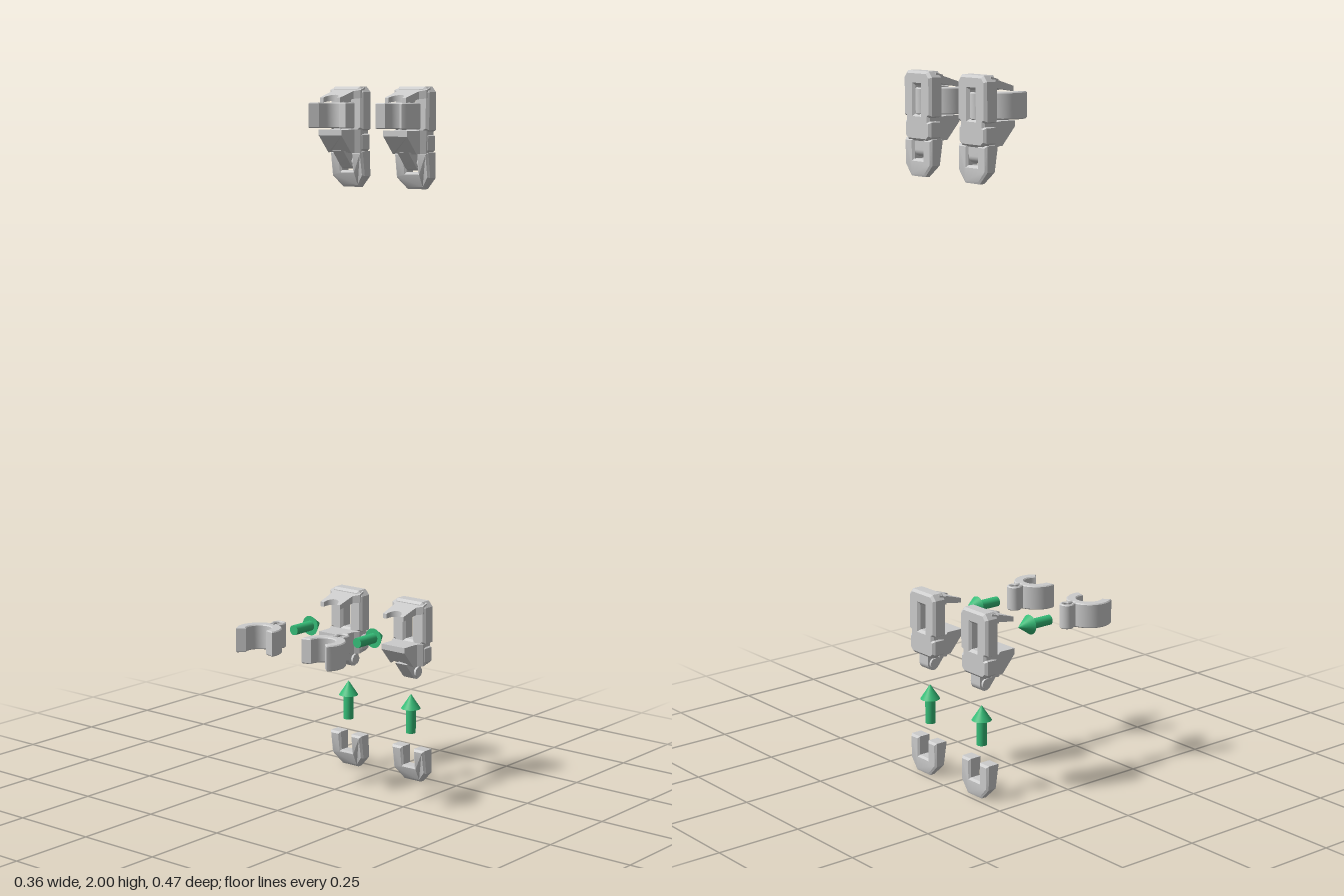
import * as THREE from 'three';
import { toCreasedNormals } from 'three/addons/utils/BufferGeometryUtils.js';

const grey = new THREE.MeshStandardMaterial({ color: 0xcccccc });
const green = new THREE.MeshStandardMaterial({ color: 0x35bd78 });
const rad = THREE.MathUtils.degToRad;

// Crease at a larger scale so tiny neighbouring vertices are not merged
function creased(geo) {
  geo.scale(100, 100, 100);
  const out = toCreasedNormals(geo, rad(28));
  return out.scale(0.01, 0.01, 0.01);
}

function part(name, geo, material = grey) {
  const mesh = new THREE.Mesh(creased(geo), material);
  mesh.name = name;
  return mesh;
}

// Closed shape symmetric in x, from its right half listed bottom to top
function mirrored(half) {
  const pts = half.map(([x, y]) => new THREE.Vector2(x, y));
  const left = half.slice().reverse().map(([x, y]) => new THREE.Vector2(-x, y));
  return new THREE.Shape([...pts, ...left]);
}

function extrude(shape, depth, bevel = 0) {
  const geo = new THREE.ExtrudeGeometry(shape, {
    depth: depth - 2 * bevel, curveSegments: 20, bevelEnabled: bevel > 0,
    bevelThickness: bevel, bevelSize: bevel, bevelOffset: -bevel, bevelSegments: 1,
  });
  return geo.translate(0, 0, bevel);
}

// Plan shape (x, -z) turned into a solid whose top and bottom follow z
function slopedSolid(shape, top, bottom) {
  const geo = extrude(shape, 1).rotateX(-Math.PI / 2);
  const p = geo.attributes.position;
  for (let i = 0; i < p.count; i++) {
    p.setY(i, p.getY(i) > 0.5 ? top(p.getZ(i)) : bottom(p.getZ(i)));
  }
  geo.computeVertexNormals();
  return geo;
}

const ramp = (z0, y0, z1, y1) => (z) => THREE.MathUtils.mapLinear(z, z0, z1, y0, y1);

function buildBody() {
  const body = new THREE.Group();
  body.name = 'body';

  // Back plate with the vertical socket slot
  const plate = mirrored([
    [0.042, 0.353], [0.056, 0.365], [0.056, 0.405], [0.05, 0.408],
    [0.05, 0.417], [0.059, 0.421], [0.059, 0.525], [0.045, 0.541],
  ]);
  plate.holes.push(new THREE.Path([
    [-0.013, 0.426], [-0.013, 0.502], [0.013, 0.502], [0.013, 0.426],
  ].map(([x, y]) => new THREE.Vector2(x, y))));
  body.add(part('backPlate', extrude(plate, 0.045, 0.007).translate(0, 0, -0.235)));

  // Upper visor with a round notch in its front edge
  const visor = new THREE.Shape();
  visor.moveTo(-0.053, 0.21);
  visor.lineTo(-0.056, 0.188);
  visor.lineTo(-0.039, 0.176);
  visor.lineTo(-0.037, 0.12);
  visor.lineTo(-0.025, 0.12);
  visor.absarc(0, 0.12, 0.024, Math.PI, 0, true);
  visor.lineTo(0.037, 0.12);
  visor.lineTo(0.039, 0.176);
  visor.lineTo(0.056, 0.188);
  visor.lineTo(0.053, 0.21);
  body.add(part('visor', slopedSolid(visor,
    ramp(-0.21, 0.538, -0.12, 0.51), ramp(-0.21, 0.512, -0.12, 0.496))));

  // Lower wedge, sloping back towards the plate
  const wedge = mirrored([[0.042, 0.12], [0.042, 0.163], [0.044, 0.176], [0.056, 0.188], [0.05, 0.21]]);
  const slope = ramp(-0.19, 0.316, -0.12, 0.404);
  body.add(part('lowerWedge', slopedSolid(wedge, () => 0.42, (z) => Math.max(0.355, slope(z)))));

  // Rounded tang that enters the toe, with its cross pin
  const tang = new THREE.Shape();
  tang.moveTo(0.155, 0.36);
  tang.lineTo(0.19, 0.318);
  tang.absarc(0.207, 0.329, 0.02, rad(215), rad(360), false);
  tang.lineTo(0.227, 0.36);
  body.add(part('tang', extrude(tang, 0.04).rotateY(Math.PI / 2).translate(-0.02, 0, 0)));
  body.add(part('pin', new THREE.CylinderGeometry(0.015, 0.015, 0.054, 24)
    .rotateZ(Math.PI / 2).translate(0, 0.33, -0.207)));
  return body;
}

// Open ring with one longer arm and a split loop at the back
function buildClip() {
  const s = new THREE.Shape();
  s.absarc(0, 0, 0.065, rad(-14), rad(77), false);
  s.absarc(0, 0.084, 0.0215, rad(-47), rad(227), false);
  s.absarc(0, 0, 0.065, rad(103), rad(220), false);
  s.absarc(0, 0, 0.036, rad(220), rad(-14), true);
  const hole = new THREE.Path();
  hole.absarc(0, 0.084, 0.012, rad(-60), rad(240), false);
  hole.lineTo(-0.006, 0.058);
  hole.lineTo(0.006, 0.058);
  s.holes.push(hole);
  return part('clip', extrude(s, 0.072, 0.003).rotateX(-Math.PI / 2).translate(0, -0.036, 0));
}

// Forked toe, thinning towards its tip
function buildToe() {
  const fork = mirrored([
    [0.03, 0.003], [0.059, 0.035], [0.059, 0.105], [0.02, 0.105], [0.02, 0.05],
  ]);
  const geo = extrude(fork, 0.045, 0.006);
  const p = geo.attributes.position;
  for (let i = 0; i < p.count; i++) {
    const y = p.getY(i);
    const thin = y > 0.06 ? 1 : THREE.MathUtils.lerp(0.42, 1, y / 0.06);
    p.setZ(i, -0.233 + p.getZ(i) * thin);
  }
  geo.computeVertexNormals();
  return part('toe', geo);
}

// Assembly arrow pointing up, base at the origin
function buildArrow() {
  const arrow = new THREE.Group();
  arrow.name = 'arrow';
  arrow.add(part('arrowShaft', new THREE.CylinderGeometry(0.0145, 0.0145, 0.073, 32)
    .translate(0, 0.0365, 0), green));
  arrow.add(part('arrowHead', new THREE.ConeGeometry(0.0285, 0.043, 32)
    .translate(0, 0.0945, 0), green));
  return arrow;
}

function place(object, y, z = 0) {
  object.position.set(0, y, z);
  return object;
}

export function createModel() {
  const model = new THREE.Group();
  model.name = 'jointedFeet';

  for (const side of [-1, 1]) {
    const pair = new THREE.Group();
    pair.name = side > 0 ? 'leftSet' : 'rightSet';
    pair.position.x = side * 0.117;
    const clip = () => {
      const c = buildClip();
      if (side > 0) c.rotation.z = Math.PI; // longer arm faces outwards
      return c;
    };

    // Joined unit
    const joined = new THREE.Group();
    joined.name = 'joinedUnit';
    joined.add(place(buildBody(), 1.459), place(clip(), 1.919, -0.127), place(buildToe(), 1.713));

    // Separated unit with arrows
    const separated = new THREE.Group();
    separated.name = 'separatedUnit';
    const forward = place(buildArrow(), 0.46, 0.043);
    forward.rotation.x = -Math.PI / 2;
    separated.add(buildBody(), place(clip(), 0.46, 0.193), place(buildToe(), -0.003),
      place(buildArrow(), 0.145, -0.205), forward);

    pair.add(joined, separated);
    model.add(pair);
  }
  return model;
}
